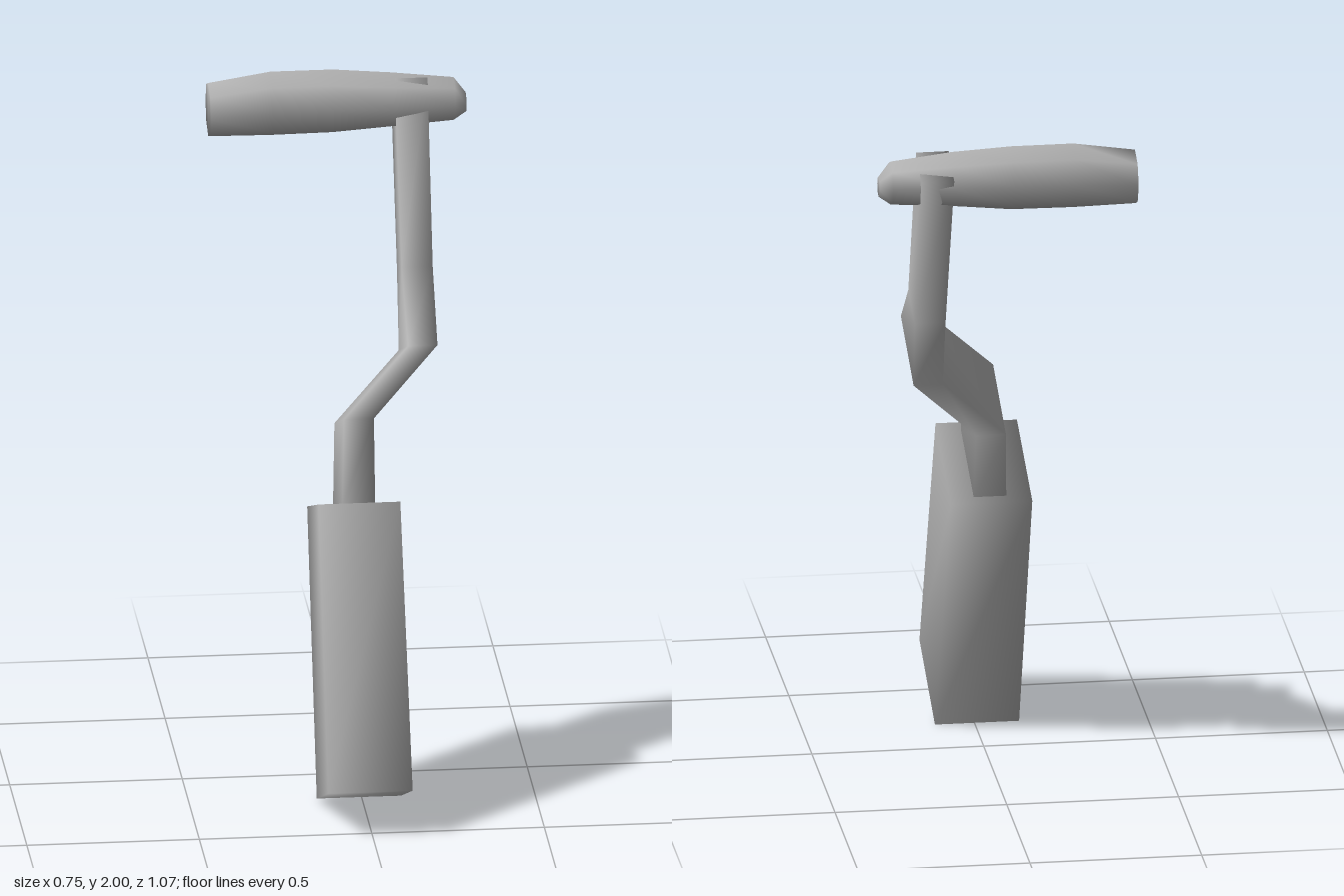
import * as THREE from 'three';

// Skin a closed solid over rings of [x, y, z] points; each ring runs
// counterclockwise when seen from the far end. Shared corners keep it smooth.
function loft(rings, material, name) {
  const n = rings[0].length;
  const last = (rings.length - 1) * n;
  const index = [];
  for (let i = 0; i < rings.length - 1; i++) {
    for (let j = 0; j < n; j++) {
      const a = i * n + j;
      const b = i * n + (j + 1) % n;
      index.push(a, b, b + n, a, b + n, a + n);
    }
  }
  // end caps
  for (let j = 1; j < n - 1; j++) {
    index.push(0, j + 1, j);
    index.push(last, last + j, last + j + 1);
  }
  const geometry = new THREE.BufferGeometry();
  geometry.setAttribute('position', new THREE.Float32BufferAttribute(rings.flat(2), 3));
  geometry.setIndex(index);
  geometry.computeVertexNormals();
  const mesh = new THREE.Mesh(geometry, material);
  mesh.name = name;
  return mesh;
}

// Four-cornered section: x range, then front and back edge as (y, z)
const section = ([x0, x1, yf, zf, yb, zb]) => [
  [x1, yf, zf], [x1, yb, zb], [x0, yb, zb], [x0, yf, zf],
];

// Eight-sided section across x: y range and z range
function octagon([x, y0, y1, z0, z1]) {
  const ring = [];
  for (let j = 0; j < 8; j++) {
    const a = (j / 8) * Math.PI * 2;
    ring.push([
      x,
      (y0 + y1) / 2 + Math.cos(a) * (y1 - y0) / 2,
      (z0 + z1) / 2 + Math.sin(a) * (z1 - z0) / 2,
    ]);
  }
  return ring;
}

export function createModel() {
  const group = new THREE.Group();
  const grey = new THREE.MeshStandardMaterial({ color: 0xb2b2b2 });
  grey.name = 'plain grey';

  // Tilted block at the foot
  group.add(loft([
    [-0.13, 0.115, 0.14, 0.535, 0.0, 0.2],
    [-0.127, 0.11, 0.915, 0.225, 0.785, -0.108],
  ].map(section), grey, 'baseBlock'));

  // Cranked arm, deep below and slim above
  group.add(loft([
    [-0.055, 0.04, 0.9, 0.195, 0.79, -0.08],
    [-0.042, 0.045, 1.13, 0.108, 1.015, -0.17],
    [0.152, 0.237, 1.32, 0.03, 1.205, -0.245],
    [0.155, 0.245, 1.48, -0.19, 1.425, -0.328],
    [0.157, 0.252, 1.98, -0.41, 1.93, -0.532],
  ].map(section), grey, 'crankedArm'));

  // Crossbar with a tapered end
  group.add(loft([
    [-0.38, 1.808, 1.972, -0.53, -0.365],
    [-0.2, 1.805, 2.0, -0.535, -0.362],
    [-0.02, 1.807, 2.0, -0.535, -0.362],
    [0.15, 1.822, 1.988, -0.53, -0.35],
    [0.33, 1.835, 1.967, -0.5, -0.38],
    [0.365, 1.86, 1.92, -0.465, -0.41],
  ].map(octagon), grey, 'crossbar'));

  return group;
}
